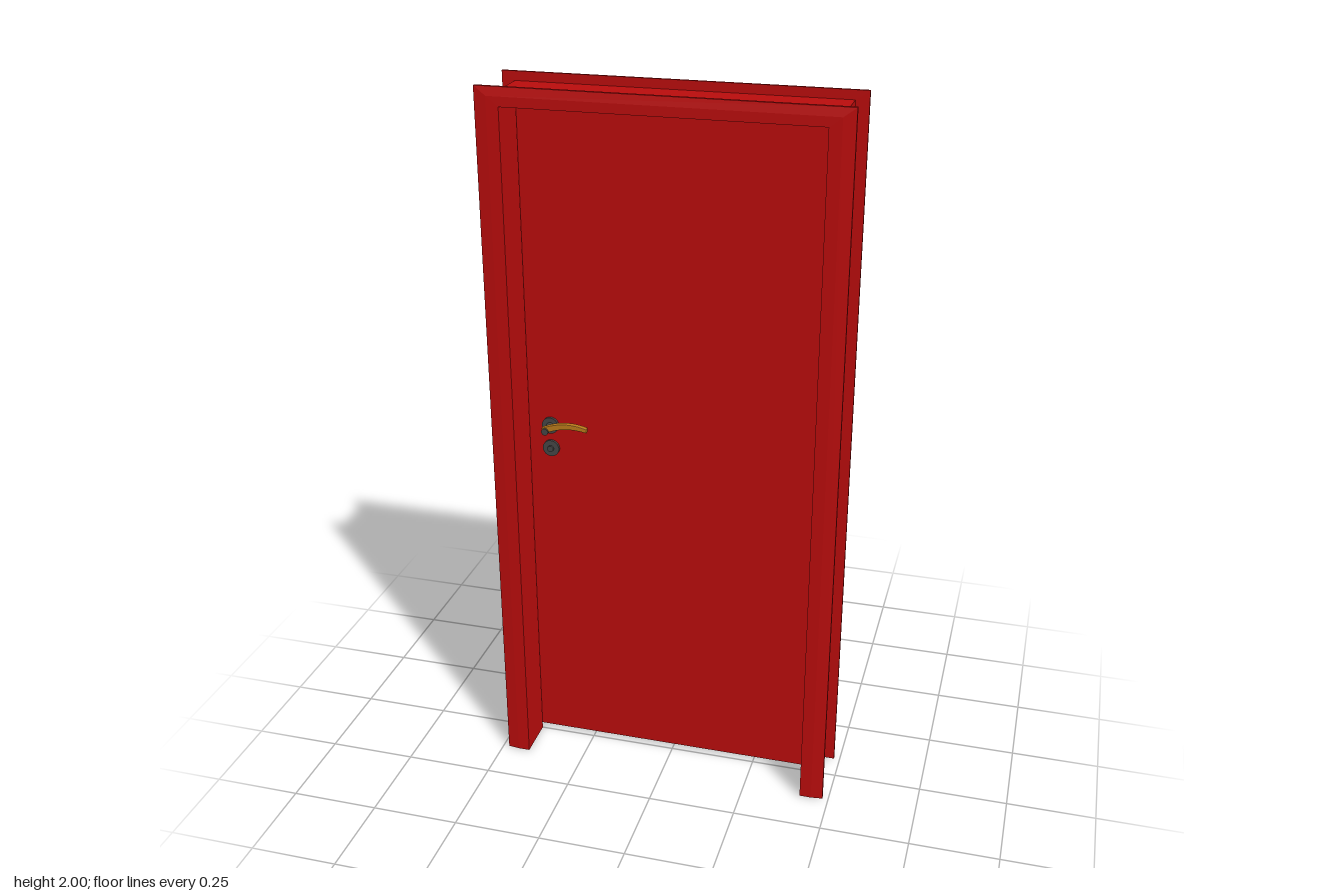
import * as THREE from 'three';

const red = new THREE.MeshStandardMaterial({ color: 0xb80c0c });
const brass = new THREE.MeshStandardMaterial({ color: 0xb8791a });
const darkMetal = new THREE.MeshStandardMaterial({ color: 0x444444 });

const DOOR_FRONT = -0.005, DOOR_BACK = -0.07;
const HANDLE_X = -0.355, HANDLE_Y = 1.035;

function add(parent, name, geometry, material, x = 0, y = 0, z = 0) {
  const mesh = new THREE.Mesh(geometry, material);
  mesh.name = name;
  mesh.position.set(x, y, z);
  parent.add(mesh);
  return mesh;
}

// Sweeps a closed profile of [half width, height, z] up, across and down the doorway.
function portalGeometry(profile) {
  const stations = [[1, 0], [1, 1], [-1, 1], [-1, 0]];
  const rings = stations.map(([sx, sy]) =>
    profile.map(([x, y, z]) => [x * sx, y * sy, z]));
  const pos = [];
  const tri = (...pts) => pts.forEach(p => pos.push(...p));
  for (let s = 0; s < 3; s++) {
    for (let i = 0; i < profile.length; i++) {
      const j = (i + 1) % profile.length;
      const a = rings[s][i], b = rings[s][j], c = rings[s + 1][j], d = rings[s + 1][i];
      tri(a, d, c);
      tri(a, c, b);
    }
  }
  // feet of the two jambs
  const outline = profile.map(([x, , z]) => new THREE.Vector2(x, z));
  for (const [a, b, c] of THREE.ShapeUtils.triangulateShape(outline, [])) {
    tri(rings[0][a], rings[0][b], rings[0][c]);
    tri(rings[3][a], rings[3][c], rings[3][b]);
  }
  const g = new THREE.BufferGeometry();
  g.setAttribute('position', new THREE.Float32BufferAttribute(pos, 3));
  g.computeVertexNormals();
  return g;
}

// Round part whose axis points out of the door.
function disc(radius, depth) {
  return new THREE.CylinderGeometry(radius, radius, depth, 24).rotateX(Math.PI / 2);
}

// Gently arched, tapering lever.
function leverGeometry() {
  const s = new THREE.Shape();
  s.moveTo(-0.009, 0.003);
  s.quadraticCurveTo(0.055, 0.033, 0.118, 0.014);
  s.lineTo(0.118, 0.006);
  s.quadraticCurveTo(0.06, 0.019, 0.004, -0.006);
  s.quadraticCurveTo(-0.008, -0.008, -0.009, 0.003);
  const g = new THREE.ExtrudeGeometry(s, {
    depth: 0.012, curveSegments: 12,
    bevelThickness: 0.002, bevelSize: 0.002, bevelSegments: 2
  });
  return g.translate(0, 0, -0.006);
}

// side is +1 on the front and -1 on the back
function makeHandle(name, face, side) {
  const handle = new THREE.Group();
  handle.name = name;
  handle.position.set(HANDLE_X, HANDLE_Y, face);
  add(handle, 'rose', disc(0.024, 0.008), darkMetal, 0, 0, side * 0.004);
  add(handle, 'spindle', disc(0.01, 0.054), darkMetal, 0, 0, side * 0.027);
  add(handle, 'lever', leverGeometry(), brass, 0, 0.004, side * 0.041);
  return handle;
}

export function createModel() {
  const model = new THREE.Group();
  model.name = 'door';

  // Frame: casings with bevelled outer edges, jamb, and the rebate for the leaf
  add(model, 'frame', portalGeometry([
    [0.483, 2, 0.118], [0.45, 1.976, 0.122], [0.417, 1.95, 0.122],
    [0.417, 1.95, 0], [0.435, 1.958, 0], [0.435, 1.958, -0.092],
    [0.45, 1.976, -0.092], [0.483, 2, -0.088], [0.483, 2, -0.08],
    [0.447, 1.975, -0.08], [0.447, 1.975, 0.108], [0.483, 2, 0.108]
  ]), red);

  // Leaf
  const bottom = 0.015, top = 1.956;
  add(model, 'leaf', new THREE.BoxGeometry(0.864, top - bottom, DOOR_FRONT - DOOR_BACK),
    red, 0, (top + bottom) / 2, (DOOR_FRONT + DOOR_BACK) / 2);

  // Handles on both faces
  model.add(makeHandle('frontHandle', DOOR_FRONT, 1));
  model.add(makeHandle('backHandle', DOOR_BACK, -1));

  // Lock cover on the front
  add(model, 'lockCover', disc(0.024, 0.008), darkMetal, HANDLE_X, 0.965, DOOR_FRONT + 0.004);
  add(model, 'lockCylinder', disc(0.009, 0.014), darkMetal, HANDLE_X, 0.965, DOOR_FRONT + 0.007);

  // Hinges
  for (const y of [0.24, 1.77]) {
    add(model, 'hinge', new THREE.CylinderGeometry(0.007, 0.007, 0.085, 16),
      darkMetal, 0.428, y, DOOR_BACK - 0.005);
  }
  return model;
}
